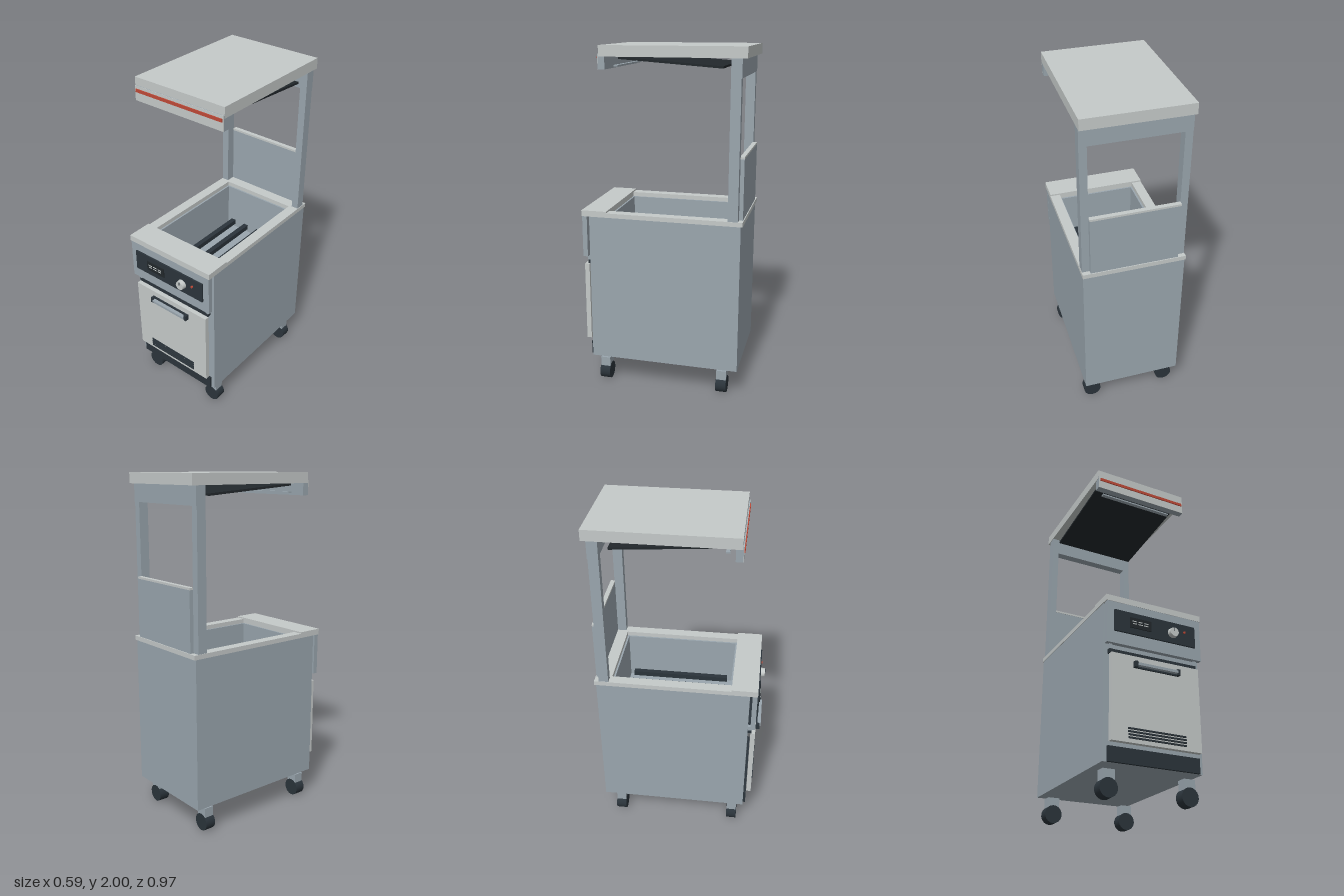
import * as THREE from 'three';

const mat = (name, color) => {
  const m = new THREE.MeshStandardMaterial({ color });
  m.name = name;
  return m;
};

export function createModel() {
  const root = new THREE.Group();
  root.name = 'fryerCabinet';
  const steel = mat('brushed steel', 0x9aa6ae);
  const light = mat('pale steel', 0xc5cac9);
  const dark = mat('charcoal', 0x2b343b);
  const black = mat('black rubber', 0x22282c);
  const red = mat('red accent', 0xbf4a38);

  const add = (name, geo, m, parent = root) => {
    const mesh = new THREE.Mesh(geo, m);
    mesh.name = name;
    parent.add(mesh);
    return mesh;
  };
  // box given by its min and max on each axis
  const box = (name, m, x0, x1, y0, y1, z0, z1, parent = root) => {
    const mesh = add(name, new THREE.BoxGeometry(x1 - x0, y1 - y0, z1 - z0), m, parent);
    mesh.position.set((x0 + x1) / 2, (y0 + y1) / 2, (z0 + z1) / 2);
    return mesh;
  };
  // flat rectangular frame with an opening, extruded upward
  const frame = (name, m, o, i, y0, y1) => {
    const rect = (P, [x, z0, z1]) => {
      const p = new P();
      p.moveTo(-x, -z1); p.lineTo(x, -z1); p.lineTo(x, -z0); p.lineTo(-x, -z0);
      p.closePath();
      return p;
    };
    const s = rect(THREE.Shape, o);
    s.holes.push(rect(THREE.Path, i));
    const g = new THREE.ExtrudeGeometry(s, { depth: y1 - y0, bevelEnabled: false });
    g.rotateX(-Math.PI / 2);
    g.translate(0, y0, 0);
    return add(name, g, m);
  };

  // cabinet with an open vat
  box('cabinetBase', steel, -0.292, 0.292, 0.165, 0.75, -0.475, 0.405);
  frame('vatWalls', steel, [0.292, -0.475, 0.405], [0.225, -0.38, 0.29], 0.75, 1.04);
  frame('counterRim', light, [0.295, -0.485, 0.45], [0.235, -0.39, 0.30], 1.04, 1.066);
  box('frontDeck', light, -0.295, 0.295, 1.066, 1.075, 0.30, 0.45);
  for (let i = 0; i < 4; i++) {
    const x = -0.15 + i * 0.1;
    box('heatingTube', dark, x - 0.015, x + 0.015, 0.805, 0.835, -0.34, 0.25);
  }

  // control panel
  box('controlPanel', steel, -0.29, 0.29, 0.795, 1.04, 0.42, 0.448);
  box('controlBezel', dark, -0.25, 0.25, 0.865, 0.99, 0.448, 0.458);
  box('display', black, -0.16, -0.03, 0.9, 0.96, 0.458, 0.463);
  for (let r = 0; r < 2; r++)
    for (let c = 0; c < 3; c++) {
      const x = -0.145 + c * 0.035, y = 0.922 + r * 0.014;
      box('displayDash', light, x, x + 0.025, y, y + 0.005, 0.463, 0.465);
    }
  const knob = add('knob', new THREE.CylinderGeometry(0.026, 0.029, 0.025, 24).rotateX(Math.PI / 2), light);
  knob.position.set(0.105, 0.923, 0.47);
  box('knobPointer', dark, 0.103, 0.107, 0.928, 0.948, 0.482, 0.485);
  const lamp = add('indicatorLamp', new THREE.CylinderGeometry(0.007, 0.007, 0.008, 16).rotateX(Math.PI / 2), red);
  lamp.position.set(0.18, 0.942, 0.462);

  // door, trim, handle and vents
  box('doorTopTrim', dark, -0.265, 0.265, 0.745, 0.768, 0.405, 0.428);
  box('door', light, -0.265, 0.265, 0.265, 0.74, 0.422, 0.45);
  box('kickPlate', dark, -0.268, 0.268, 0.165, 0.245, 0.405, 0.42);
  for (const s of [-1, 1]) {
    const x = s * 0.258;
    box('hinge', steel, x - 0.01, x + 0.01, 0.768, 0.795, 0.405, 0.43);
    const e = s * 0.128;
    box('handleBracket', dark, e - 0.009, e + 0.009, 0.672, 0.706, 0.45, 0.474);
  }
  box('handlePlate', dark, -0.137, 0.137, 0.672, 0.706, 0.45, 0.459);
  box('handleGrip', steel, -0.12, 0.12, 0.681, 0.696, 0.459, 0.48);
  for (let i = 0; i < 4; i++) {
    const y = 0.286 + i * 0.016;
    box('ventSlot', dark, -0.17, 0.17, y, y + 0.009, 0.45, 0.455);
  }

  // uprights, back panel and crossbeam
  for (const s of [-1, 1]) {
    const x = s * 0.271;
    box('upright', steel, x - 0.021, x + 0.021, 1.066, 1.94, -0.458, -0.402);
  }
  box('backPanel', steel, -0.25, 0.25, 1.066, 1.408, -0.48, -0.456);
  box('backPanelTrim', light, -0.25, 0.25, 1.408, 1.42, -0.48, -0.454);
  box('crossbeam', steel, -0.292, 0.292, 1.838, 1.94, -0.461, -0.41);

  // hood
  box('hoodTop', light, -0.295, 0.295, 1.94, 2.0, -0.488, 0.322);
  box('hoodLip', steel, -0.293, 0.293, 1.872, 1.955, 0.288, 0.326);
  box('hoodFascia', light, -0.293, 0.293, 1.872, 1.955, 0.326, 0.328);
  box('hoodStripe', red, -0.285, 0.285, 1.921, 1.939, 0.328, 0.333);
  box('lampBar', steel, -0.23, 0.23, 1.884, 1.893, 0.235, 0.257);
  const filter = box('hoodFilter', black, -0.265, 0.265, 1.906, 1.918, -0.357, 0.219);
  filter.rotation.x = -Math.atan2(0.042, 0.575);

  // casters
  for (const x of [-0.235, 0.235])
    for (const z of [-0.38, 0.335]) {
      const caster = new THREE.Group();
      caster.name = 'caster';
      caster.position.set(x, 0, z);
      root.add(caster);
      box('casterFork', steel, -0.034, 0.034, 0.07, 0.145, -0.029, 0.029, caster);
      const wheel = add('casterWheel', new THREE.CylinderGeometry(0.051, 0.051, 0.062, 18).rotateX(Math.PI / 2), dark, caster);
      wheel.position.y = 0.051;
    }
  return root;
}
